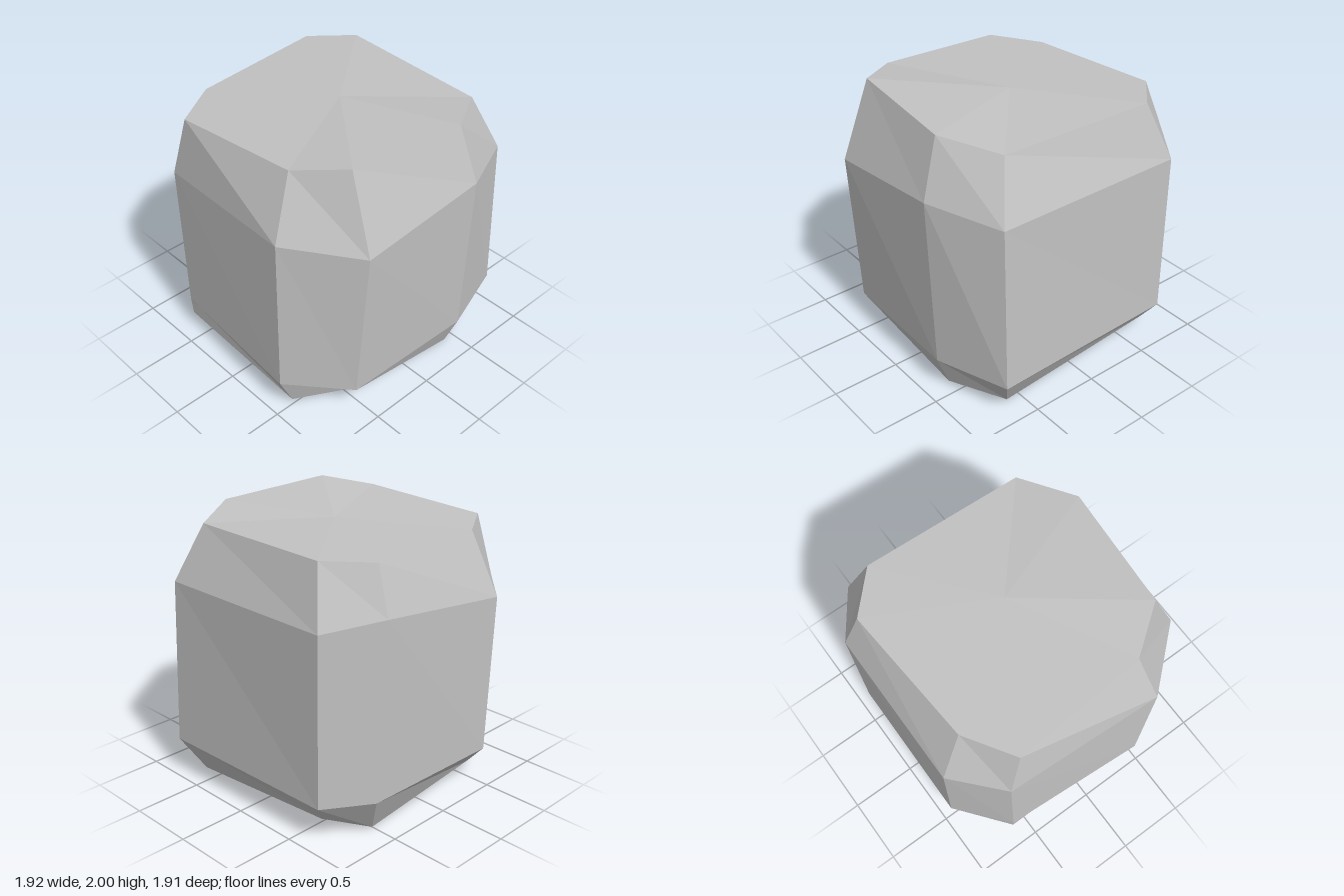
import * as THREE from 'three';

// Cross-sections from bottom to top, eight corners each [x, y, z],
// running from the back right corner round by the back left to the front.
const RINGS = [
  [[-0.64, 0.145, -0.83], [0.62, 0.025, -0.81], [0.815, 0.02, -0.4], [0.797, 0.13, 0.48],
    [0.49, 0.035, 0.85], [-0.62, 0.135, 0.87], [-0.775, 0.095, 0.54], [-0.79, 0.0, -0.5]],
  [[-0.71, 0.285, -0.93], [0.735, 0.28, -0.957], [0.913, 0.265, -0.41], [0.875, 0.242, 0.595],
    [0.49, 0.265, 0.955], [-0.625, 0.275, 0.88], [-0.94, 0.275, 0.51], [-0.935, 0.295, -0.615]],
  [[-0.715, 1.505, -0.925], [0.725, 1.497, -0.915], [0.96, 1.548, -0.405], [0.948, 1.435, 0.57],
    [0.503, 1.495, 0.957], [-0.65, 1.435, 0.885], [-0.953, 1.435, 0.55], [-0.962, 1.575, -0.565]],
  [[-0.58, 1.915, -0.79], [0.59, 1.907, -0.745], [0.822, 1.962, -0.357], [0.745, 2.0, 0.535],
    [0.43, 1.945, 0.77], [-0.54, 1.89, 0.83], [-0.76, 1.885, 0.485], [-0.84, 1.903, -0.523]],
];
const BOTTOM = [0, 0.075, 0];
const TOP = [0, 1.935, -0.07];

function stoneGeometry() {
  const positions = [];
  const tri = (a, b, c) => positions.push(...a, ...b, ...c);
  const n = RINGS[0].length;
  for (let i = 0; i < n; i++) {
    const j = (i + 1) % n;
    // Side bands
    for (let r = 0; r < RINGS.length - 1; r++) {
      const lower = RINGS[r], upper = RINGS[r + 1];
      tri(lower[j], lower[i], upper[j]);
      tri(lower[i], upper[i], upper[j]);
    }
    // End caps fan out from a centre point
    tri(BOTTOM, RINGS[0][i], RINGS[0][j]);
    tri(TOP, RINGS[3][j], RINGS[3][i]);
  }
  const geometry = new THREE.BufferGeometry();
  geometry.setAttribute('position', new THREE.Float32BufferAttribute(positions, 3));
  geometry.computeVertexNormals();
  return geometry;
}

export function createModel() {
  const stoneGrey = new THREE.MeshStandardMaterial({ color: 0xc2c2c2, flatShading: true });
  stoneGrey.name = 'stoneGrey';

  const group = new THREE.Group();
  group.name = 'rock';
  const stone = new THREE.Mesh(stoneGeometry(), stoneGrey);
  stone.name = 'stoneBlock';
  group.add(stone);
  return group;
}
